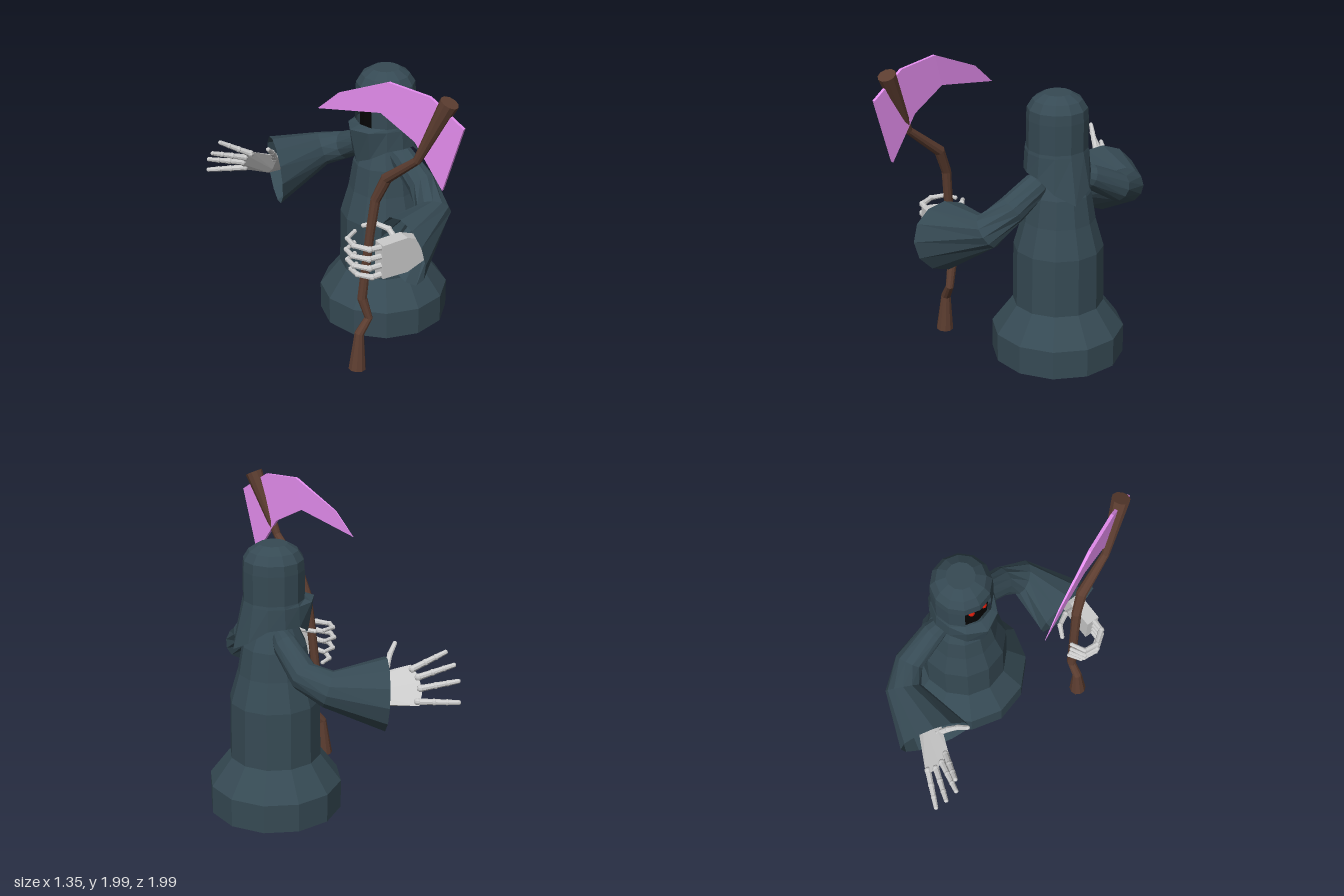
import * as THREE from 'three';
import { ConvexGeometry } from 'three/addons/geometries/ConvexGeometry.js';

const V = (x, y, z) => new THREE.Vector3(x, y, z);
const mat = (color) => new THREE.MeshStandardMaterial({ color, flatShading: true, side: THREE.DoubleSide });

// Skins a list of rings; optional caps and optional quads left open
function skin(rings, capStart, capEnd, skip = () => false) {
  const n = rings[0].length, pos = [];
  const tri = (...p) => p.forEach((q) => pos.push(q.x, q.y, q.z));
  for (let i = 0; i + 1 < rings.length; i++) {
    for (let j = 0; j < n; j++) {
      if (skip(i, j)) continue;
      const k = (j + 1) % n, A = rings[i], B = rings[i + 1];
      tri(A[j], A[k], B[k]);
      tri(A[j], B[k], B[j]);
    }
  }
  const cap = (r, flip) => {
    const c = r.reduce((s, p) => s.add(p), V(0, 0, 0)).divideScalar(n);
    r.forEach((p, j) => (flip ? tri(c, r[(j + 1) % n], p) : tri(c, p, r[(j + 1) % n])));
  };
  if (capStart) cap(rings[0], true);
  if (capEnd) cap(rings[rings.length - 1], false);
  const g = new THREE.BufferGeometry();
  g.setAttribute('position', new THREE.Float32BufferAttribute(pos, 3));
  g.computeVertexNormals();
  return g;
}

// Tapering limb through [x, y, z, radius] stations
function limb(stations, sides, ref, capEnd, endDir) {
  const p = stations.map((s) => V(s[0], s[1], s[2]));
  const last = p.length - 1;
  const rings = p.map((c, i) => {
    const t = V(0, 0, 0);
    if (i > 0) t.add(c.clone().sub(p[i - 1]).normalize());
    if (i < last) t.add(p[i + 1].clone().sub(c).normalize());
    if (i === last && endDir) t.copy(endDir);
    t.normalize();
    const u = ref.clone().cross(t).normalize(), v = t.clone().cross(u);
    return Array.from({ length: sides }, (_, j) => {
      const a = (j / sides) * Math.PI * 2, r = stations[i][3];
      return c.clone().addScaledVector(u, Math.cos(a) * r).addScaledVector(v, Math.sin(a) * r);
    });
  });
  return skin(rings, true, capEnd);
}

export function createModel() {
  const root = new THREE.Group();
  const robe = mat(0x364a54), wood = mat(0x5c3d30), bone = mat(0xcccccc);
  const violet = mat(0xe68ef0), dark = mat(0x050505), red = mat(0xcc1a0a);
  const add = (name, geo, m, parent = root) => {
    const mesh = new THREE.Mesh(geo, m);
    mesh.name = name;
    parent.add(mesh);
    return mesh;
  };

  // Robe body
  const profile = [[0, 0], [0.43, 0.01], [0.43, 0.2], [0.295, 0.38], [0.29, 0.76], [0.235, 0.95],
    [0.205, 1.13], [0.13, 1.29], [0, 1.3]].map(([x, y]) => new THREE.Vector2(x, y));
  add('robe', new THREE.LatheGeometry(profile, 12), robe).position.set(0.238, 0, -0.135);

  // Hood with pointed front and back lips and an open face (facing -x)
  const hoodRow = (f) => Array.from({ length: 12 }, (_, j) => {
    const a = (j / 12) * Math.PI * 2, c = Math.cos(a);
    const [r, y] = f(c ** 4, c < 0);
    return V(0.235 + r * c, y, -0.12 - r * Math.sin(a));
  });
  const hoodRows = [
    hoodRow((w, front) => [0.21 + w * (front ? 0.01 : 0.06), 1.285 - w * (front ? 0.115 : 0.165)]),
    hoodRow((w, front) => [0.2 + (front ? w * 0.07 : 0), 1.41]),
    ...[[0.195, 1.43], [0.195, 1.62], [0.19, 1.685], [0.155, 1.74], [0.09, 1.78]].map((s) => hoodRow(() => s)),
  ];
  add('hood', skin(hoodRows, false, true, (i, j) => i === 2 && (j === 5 || j === 6)), robe);
  add('faceShadow', new THREE.CylinderGeometry(0.165, 0.165, 0.3, 12), dark).position.set(0.235, 1.53, -0.12);
  for (const s of [-1, 1]) {
    add('eye', new THREE.SphereGeometry(0.022, 8, 6), red).position.set(0.072, 1.57, -0.12 + s * 0.045);
  }

  // Sleeves
  const up = V(0, 1, 0);
  add('staffSleeve', limb([[0.24, 1.23, -0.02, 0.06], [0.265, 1.2, 0.04, 0.085], [0.295, 1.08, 0.22, 0.095],
    [0.28, 0.96, 0.375, 0.115], [-0.045, 0.825, 0.52, 0.23]], 12, up, false, V(-1, -0.1, 0.06)), robe);
  add('openSleeve', limb([[0.24, 1.22, -0.27, 0.06], [0.24, 1.19, -0.35, 0.08], [0.205, 1.07, -0.57, 0.095],
    [0.1, 1.02, -0.695, 0.115], [-0.265, 0.94, -0.715, 0.23]], 12, up, false, V(-0.95, -0.05, -0.28)), robe);

  // Finger: tapering bones with a knuckle at each joint
  const finger = (name, pts, parent) => {
    const g = new THREE.Group();
    g.name = name;
    parent.add(g);
    for (let i = 0; i + 1 < pts.length; i++) {
      const a = V(...pts[i]), d = V(...pts[i + 1]).sub(a), r = 0.021 - i * 0.002;
      const b = add('bone', new THREE.CylinderGeometry(r * 0.85, r, d.length(), 8), bone, g);
      b.position.copy(a).addScaledVector(d, 0.5);
      b.quaternion.setFromUnitVectors(up, d.clone().normalize());
      add('knuckle', new THREE.SphereGeometry(r * 1.12, 8, 6), bone, g).position.copy(a);
    }
    add('fingertip', new THREE.SphereGeometry(0.015, 8, 6), bone, g).position.set(...pts[pts.length - 1]);
  };
  const hand = (name) => {
    const g = new THREE.Group();
    g.name = name;
    root.add(g);
    return g;
  };

  // Hand gripping the staff
  const grip = hand('grippingHand');
  const gripPalm = [];
  for (const y of [-1, 1]) {
    for (const z of [0.52, 0.61]) {
      gripPalm.push(V(-0.25, 0.85 + y * 0.115, z), V(-0.07, 0.85 + y * 0.12, z), V(0.06, 0.85 + y * 0.07, z));
    }
  }
  add('palm', new ConvexGeometry(gripPalm), bone, grip);
  for (let i = 0; i < 4; i++) {
    const y = 0.755 + i * 0.062, s = [0.8, 0.95, 1, 0.95][i];
    const curl = [[-0.22, 0.58], [-0.33, 0.575], [-0.395, 0.49], [-0.385, 0.4], [-0.3, 0.355]];
    finger('finger', curl.map(([x, z], k) => [-0.22 + (x + 0.22) * s, y + (i - 1.5) * 0.004 * k, z]), grip);
  }
  finger('thumb', [[-0.1, 0.92, 0.53], [-0.105, 0.97, 0.45], [-0.15, 0.985, 0.37], [-0.22, 0.975, 0.335]], grip);

  // Open hand
  const open = hand('openHand');
  const knuckles = [[-0.43, 1.09, -0.745], [-0.45, 1.05, -0.79], [-0.445, 0.995, -0.835], [-0.41, 0.93, -0.875]];
  const tips = [[-0.62, 1.195, -0.805], [-0.665, 1.115, -0.835], [-0.66, 1.04, -0.91], [-0.635, 0.93, -0.975]];
  const palm = [];
  for (const s of [-1, 1]) {
    const off = V(0.1, 0.7, 0.7).multiplyScalar(0.03 * s);
    [...knuckles, [-0.27, 1.04, -0.68], [-0.27, 0.91, -0.77], [-0.12, 0.99, -0.69], [-0.12, 0.93, -0.73]]
      .forEach((p) => palm.push(V(...p).add(off)));
  }
  add('palm', new ConvexGeometry(palm), bone, open);
  knuckles.forEach((k, i) => {
    const at = (t) => k.map((v, a) => v + (tips[i][a] - v) * t);
    finger('finger', [k, at(0.4), at(0.72), at(1)], open);
  });
  finger('thumb', [[-0.28, 1.04, -0.69], [-0.31, 1.09, -0.64], [-0.35, 1.14, -0.59], [-0.4, 1.19, -0.55]], open);

  // Crooked staff
  add('staff', limb([[-0.33, 0.015, 0.435, 0.057], [-0.31, 0.265, 0.43, 0.032], [-0.24, 0.36, 0.43, 0.027],
    [-0.27, 0.5, 0.4, 0.032], [-0.255, 0.68, 0.41, 0.03], [-0.23, 0.97, 0.43, 0.03], [-0.205, 1.2, 0.45, 0.032],
    [-0.165, 1.36, 0.51, 0.036], [-0.1, 1.55, 0.735, 0.026], [0.005, 1.955, 0.9, 0.058]],
  10, V(1, 0, 0), true), wood);

  // Curved blade, laid out along its own vertical plane
  const outline = [[0.055, 1.7], [0.48, 1.785], [0.7, 1.66], [0.88, 1.395], [1.0, 1.82], [0.79, 1.965],
    [0.53, 1.99], [0.2, 1.84]].map(([z, y]) => new THREE.Vector2((z - 0.055) / 0.917, y));
  const bladeGeo = new THREE.ExtrudeGeometry(new THREE.Shape(outline), { depth: 0.02, bevelEnabled: false });
  bladeGeo.translate(0, 0, -0.01);
  // Thin the blade toward its far tip
  const bp = bladeGeo.attributes.position;
  for (let i = 0; i < bp.count; i++) bp.setZ(i, bp.getZ(i) * (0.15 + 0.85 * Math.min(1, bp.getX(i) / 0.5)));
  bladeGeo.computeVertexNormals();
  const blade = add('blade', bladeGeo, violet);
  blade.position.set(-0.37, 0, 0.055);
  blade.rotation.y = -1.161;

  return root;
}
